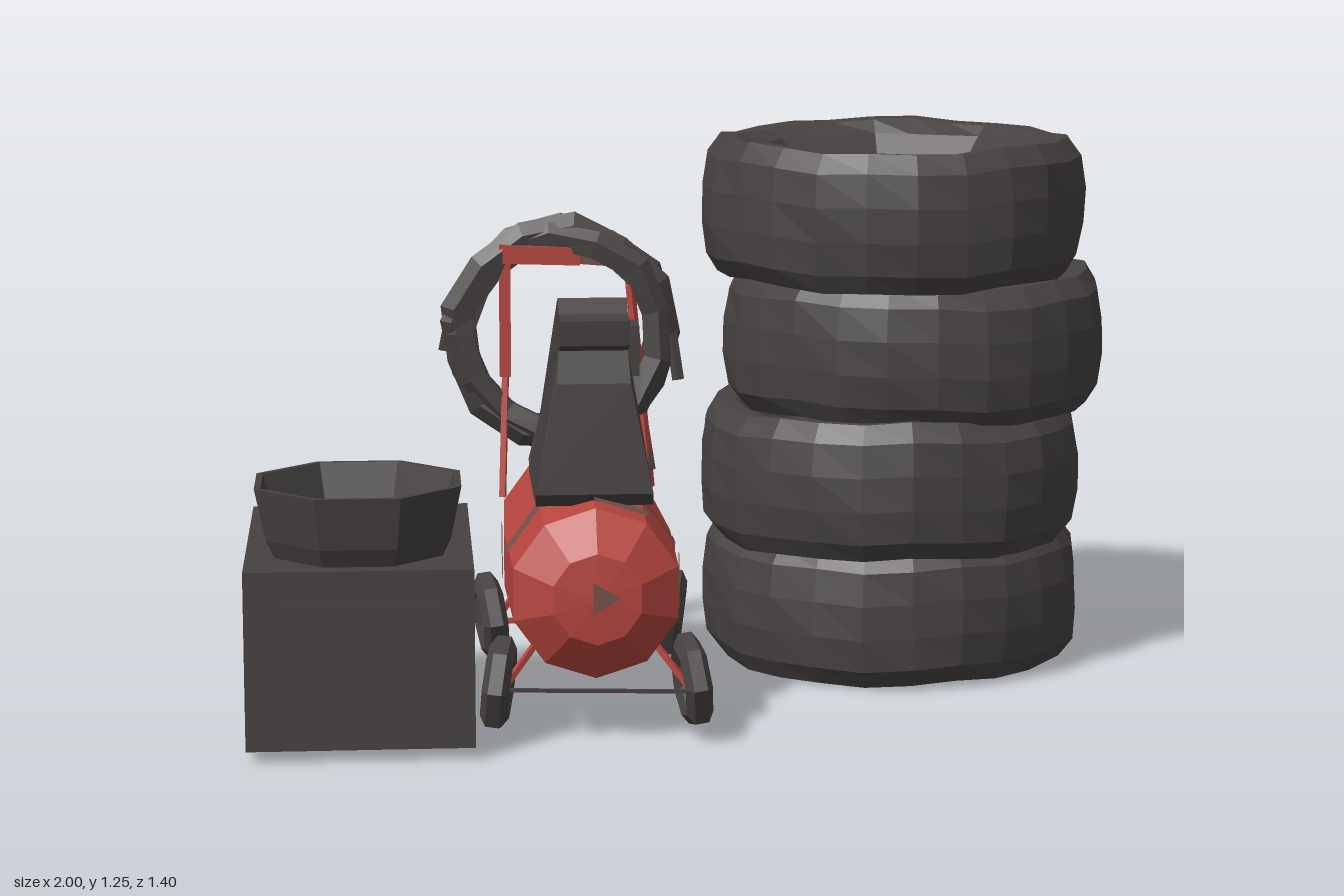
import * as THREE from 'three';

const mat = (name, color) => {
  const m = new THREE.MeshStandardMaterial({ color, flatShading: true, side: THREE.DoubleSide });
  m.name = name;
  return m;
};

export function createModel() {
  const rubber = mat('dark rubber', 0x474342);
  const metal = mat('dark metal', 0x464241);
  const red = mat('red paint', 0xb8463f);
  const rust = mat('worn paint', 0x74514a);
  const model = new THREE.Group();
  model.name = 'workshopSet';

  const add = (parent, name, geo, material, x = 0, y = 0, z = 0) => {
    const mesh = new THREE.Mesh(geo, material);
    mesh.name = name;
    mesh.position.set(x, y, z);
    parent.add(mesh);
    return mesh;
  };
  const group = (name) => {
    const g = new THREE.Group();
    g.name = name;
    model.add(g);
    return g;
  };
  // Move every vertex by a rule
  const warp = (geo, rule) => {
    const p = geo.attributes.position, v = new THREE.Vector3();
    for (let i = 0; i < p.count; i++) {
      v.fromBufferAttribute(p, i);
      rule(v);
      p.setXYZ(i, v.x, v.y, v.z);
    }
    geo.computeVertexNormals();
    return geo;
  };
  const lathe = (pts, sides) =>
    new THREE.LatheGeometry(pts.map(([r, y]) => new THREE.Vector2(r, y)), sides);
  // Straight square bar between two points
  const bar = (parent, name, a, b, t, material) => {
    const A = new THREE.Vector3(...a), B = new THREE.Vector3(...b);
    const mesh = add(parent, name, new THREE.BoxGeometry(t, t, A.distanceTo(B)), material);
    mesh.position.copy(A).add(B).multiplyScalar(0.5);
    mesh.lookAt(B);
  };

  // Stack of worn tyres with octagonal openings
  const tyreProfile = [
    [0.255, 0], [0.28, -0.07], [0.335, -0.13], [0.365, -0.155], [0.408, -0.158], [0.437, -0.115], [0.447, -0.04],
    [0.447, 0.04], [0.437, 0.115], [0.408, 0.158], [0.365, 0.155], [0.335, 0.13], [0.28, 0.07], [0.255, 0],
  ];
  const tyres = group('tyreStack');
  [[0.5, 0.16, -0.25], [0.493, 0.455, -0.225], [0.551, 0.762, -0.25], [0.495, 1.076, -0.207]].forEach(([x, y, z], i) => {
    const geo = warp(lathe(tyreProfile, 24), (v) => {
      const r = Math.hypot(v.x, v.z), a = Math.atan2(v.x, v.z) + Math.PI * 2;
      let s = 1, dy = 0;
      if (r < 0.35) {
        const d = (a % (Math.PI / 4)) - Math.PI / 8;
        s = Math.cos(Math.PI / 8) / Math.cos(d);
      } else {
        s = 1 + 0.012 * Math.sin(5 * a + v.y * 40 + i * 2) * Math.sin(9 * a - v.y * 25 + i);
        dy = 0.005 * Math.sin(3 * a + i * 1.7) + 0.004 * Math.sin(8 * a + i);
      }
      v.set(v.x * s, v.y + dy, v.z * s);
    });
    add(tyres, 'tyre', geo, rubber, x, y, z);
  });

  // Crate with raised panels
  const box = group('crate');
  add(box, 'crateBody', new THREE.BoxGeometry(0.49, 0.39, 0.725), metal, -0.755, 0.215, 0.34);
  add(box, 'frontPanel', new THREE.BoxGeometry(0.35, 0.25, 0.008), metal, -0.755, 0.215, 0.703);
  add(box, 'backPanel', new THREE.BoxGeometry(0.35, 0.25, 0.008), metal, -0.755, 0.215, -0.024);
  // Open bowl with a slightly curved wall
  const bowl = lathe([[0, 0], [0.195, 0], [0.215, 0.04], [0.24, 0.155], [0.225, 0.155], [0.185, 0.04], [0, 0.02]], 8);
  add(box, 'bowl', bowl.rotateY(Math.PI / 8), metal, -0.755, 0.41, 0.48);
  // Crumpled cloth behind the bowl
  const cloth = warp(new THREE.PlaneGeometry(0.32, 0.24, 4, 3).rotateX(-Math.PI / 2), (v) => {
    v.y += 0.018 + 0.016 * Math.sin(v.x * 40 + v.z * 23) * Math.cos(v.z * 35);
    v.x += 0.025 * Math.sin(v.z * 50);
  });
  add(box, 'cloth', cloth, metal, -0.79, 0.412, 0.17);

  // Compressor tank lying along z
  const compressor = group('compressor');
  const tankX = -0.245, tankY = 0.325;
  const tank = lathe([[0, -0.275], [0.09, -0.265], [0.185, -0.19],
    [0.197, 0.2], [0.188, 0.575], [0.1, 0.64], [0, 0.648]], 10);
  add(compressor, 'tank', tank.rotateX(Math.PI / 2), red, tankX, tankY, 0);
  // Worn patches on single tank facets
  [[3, 0.33, 0.06], [2, 0.3, 0.07], [4, 0.5, 0.07], [2, 0.45, 0.03], [5, 0.0, 0.13],
    [4, 0.0, 0.09], [6, 0.4, 0.07], [7, 0.1, 0.08]].forEach(([k, z, len]) => {
    const patch = new THREE.CylinderGeometry(0.1985, 0.1985, len, 1, 1, true, k * Math.PI / 5, Math.PI / 5);
    add(compressor, 'wornPatch', patch.rotateX(Math.PI / 2), rust, tankX, tankY, z);
  });
  add(compressor, 'wornSpot', new THREE.CircleGeometry(0.04, 3), rust, -0.235, 0.33, 0.651);

  // Wheels and struts
  for (const [z, tilt] of [[0.54, 0.12], [-0.115, -0.12]]) {
    for (const s of [-1, 1]) {
      const wheel = new THREE.Group();
      wheel.name = 'wheel';
      wheel.position.set(tankX + s * 0.211, 0.12, z);
      wheel.rotation.set(0, s * tilt, s * tilt);
      compressor.add(wheel);
      const ring = lathe([[0.055, 0.018], [0.055, -0.018], [0.08, -0.03], [0.105, -0.015],
        [0.105, 0.015], [0.08, 0.03], [0.055, 0.018]], 7);
      add(wheel, 'wheelTyre', ring.rotateZ(Math.PI / 2), rubber);
      for (let k = 0; k < 3; k++) {
        const a = k * Math.PI * 2 / 3;
        bar(wheel, 'spoke', [0, 0, 0], [0, 0.062 * Math.cos(a), 0.062 * Math.sin(a)], 0.014, metal);
      }
      bar(compressor, 'strut', [tankX + s * 0.13, 0.2, z - 0.03], [tankX + s * 0.2, 0.11, z], 0.012, red);
    }
  }
  bar(compressor, 'frontAxle', [tankX - 0.2, 0.105, 0.54], [tankX + 0.2, 0.095, 0.54], 0.008, metal);
  bar(compressor, 'rearAxle', [tankX - 0.2, 0.11, -0.115], [tankX + 0.2, 0.11, -0.115], 0.012, red);

  // Engine: side profile extruded across x, with a waist below the head
  const side = new THREE.Shape([[0.51, 0.53], [0.49, 0.77], [0.47, 0.84], [0.535, 0.86], [0.54, 0.915],
    [0.47, 0.92], [0.43, 0.95], [0.38, 0.935], [0.19, 0.77], [0.06, 0.64], [0.06, 0.53],
    [0.07, 0.5], [0.48, 0.5]].map(([z, y]) => new THREE.Vector2(z, y)));
  const engine = new THREE.ExtrudeGeometry(side, { depth: 1, bevelEnabled: false });
  engine.translate(0, 0, -0.5).rotateY(-Math.PI / 2);
  warp(engine, (v) => {
    v.x *= v.y < 0.6 ? 0.255 : v.y < 0.7 ? 0.2 : v.y < 0.8 ? 0.16 : 0.15;
  });
  add(compressor, 'engine', engine, metal, -0.243, 0, 0);
  add(compressor, 'engineCap', new THREE.BoxGeometry(0.05, 0.11, 0.1), metal, -0.165, 0.83, 0.37);
  add(compressor, 'valve', new THREE.BoxGeometry(0.06, 0.24, 0.09), metal, -0.25, 0.62, -0.055);

  // Red push handle with a worn grip
  const hz = -0.18;
  bar(compressor, 'handlePost', [-0.415, 0.68, hz], [-0.415, 0.99, hz], 0.026, red);
  bar(compressor, 'handleLeg', [-0.425, 0.4, hz + 0.04], [-0.415, 0.68, hz], 0.014, red);
  bar(compressor, 'handlePost', [-0.08, 0.42, hz + 0.04], [-0.13, 0.97, hz], 0.016, red);
  bar(compressor, 'handleGrip', [-0.42, 0.968, hz], [-0.24, 0.962, hz], 0.042, red);
  bar(compressor, 'handleGripWorn', [-0.24, 0.96, hz], [-0.12, 0.95, hz], 0.032, rust);

  // Coiled hose hung on the handle
  [[0.236, 0.044, 0.0, -0.19], [0.243, 0.034, 0.08, -0.215], [0.228, 0.036, -0.09, -0.17]].forEach(([R, t, tilt, z], i) => {
    const coil = warp(new THREE.TorusGeometry(R, t, 5, 13), (v) => {
      const a = Math.atan2(v.y, v.x), s = 1 + 0.03 * Math.sin(5 * a + i * 2);
      v.set(v.x * s, v.y * s, v.z * 0.6 + 0.01 * Math.sin(3 * a + i));
    });
    add(compressor, 'hoseCoil', coil, rubber, -0.285, 0.778, z).rotation.set(tilt * 0.5, tilt, i * 0.6);
  });
  bar(compressor, 'hoseEnd', [-0.54, 0.84, -0.2], [-0.56, 0.74, -0.2], 0.02, rubber);
  bar(compressor, 'hoseEnd', [-0.03, 0.8, -0.19], [-0.012, 0.67, -0.16], 0.02, rubber);
  bar(compressor, 'hoseEnd', [-0.1, 0.6, -0.18], [-0.08, 0.46, -0.14], 0.02, rubber);
  return model;
}
